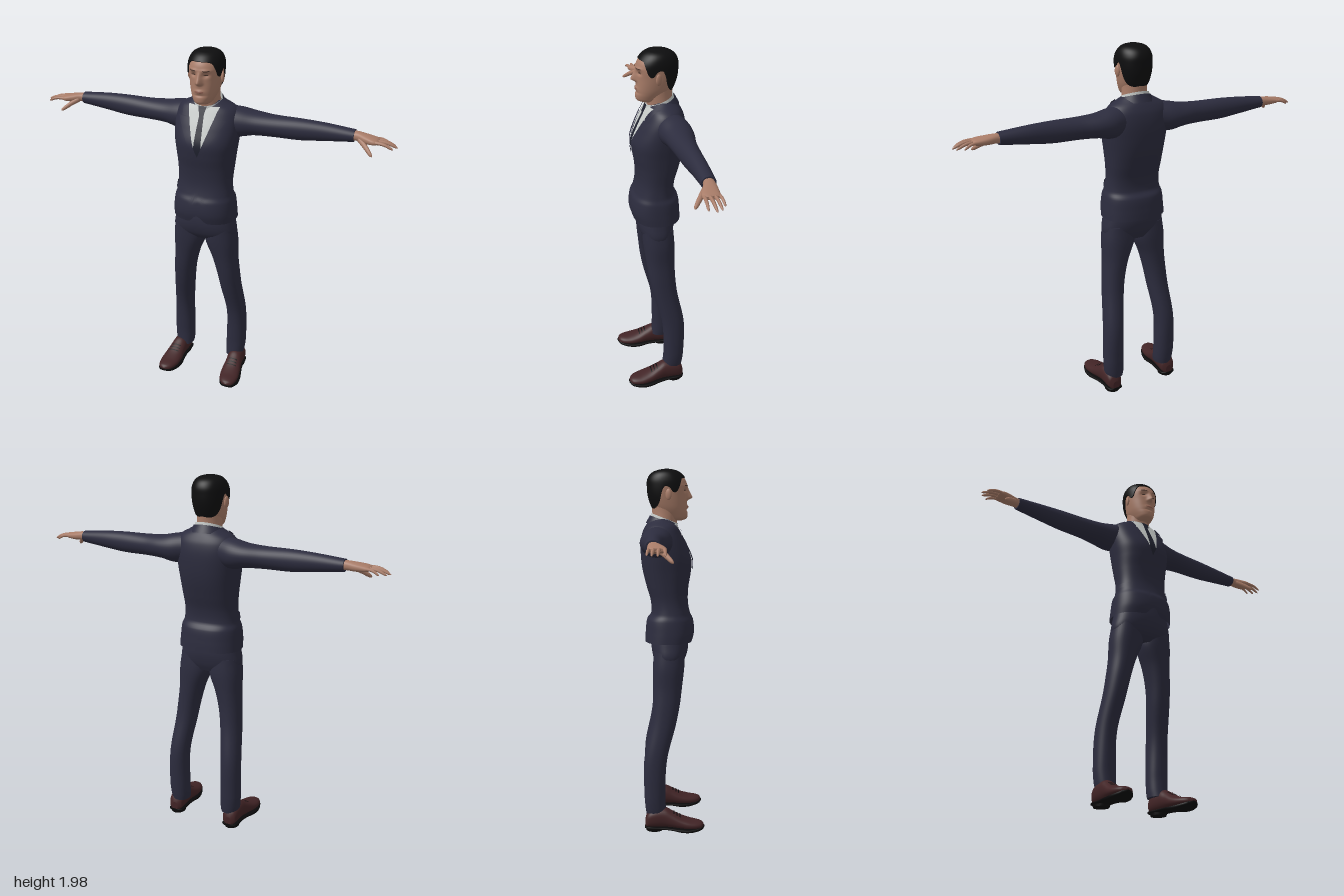
import * as THREE from 'three';

const mat = (name, color) => {
  const m = new THREE.MeshStandardMaterial({ color, side: THREE.DoubleSide });
  m.name = name;
  return m;
};

// Smooth interpolation of rows [t, ...values]
function sample(rows, t) {
  const n = rows.length;
  let i = 0;
  while (i < n - 2 && t > rows[i + 1][0]) i++;
  const a = rows[i], b = rows[i + 1], p = rows[Math.max(i - 1, 0)], q = rows[Math.min(i + 2, n - 1)];
  const h = b[0] - a[0], s = Math.min(1, Math.max(0, (t - a[0]) / h));
  return a.map((v, k) => {
    const m0 = (b[k] - p[k]) / (b[0] - p[0]) * h, m1 = (q[k] - v) / (q[0] - a[0]) * h;
    const s2 = s * s, s3 = s2 * s;
    return (2 * s3 - 3 * s2 + 1) * v + (s3 - 2 * s2 + s) * m0 + (3 * s2 - 2 * s3) * b[k] + (s3 - s2) * m1;
  });
}

// Point on a lofted form; rows are [t, centre, halfWidth, front or top, back or bottom, roundness]
const power = (v, e) => Math.sign(v) * Math.abs(v) ** e;
function surf(rows, t, a, off = 0, axis = 'y') {
  const [, c, w, f, b, n] = sample(rows, t);
  const s = c + (w + off) * power(Math.sin(a), 2 / n);
  const d = (f + b) / 2 + ((f - b) / 2 + off) * power(Math.cos(a), 2 / n);
  if (axis === 'y') return [s, t, d];
  if (axis === 'x') return [t, d, s];
  return [2 * c - s, d, t];
}

// Surface from fn(u, v), optionally wrapped in u with flat end caps
function grid(fn, nu, nv, wrap = false, caps = false) {
  const pos = [], idx = [], cols = wrap ? nu : nu + 1;
  for (let j = 0; j <= nv; j++) for (let i = 0; i < cols; i++) pos.push(...fn(i / nu, j / nv));
  for (let j = 0; j < nv; j++) for (let i = 0; i < nu; i++) {
    const a = j * cols + i, b = j * cols + (i + 1) % cols;
    idx.push(a, b, b + cols, a, b + cols, a + cols);
  }
  if (caps) for (const j of [0, nv]) {
    const base = pos.length / 3, mid = [0, 0, 0];
    for (let i = 0; i < cols; i++) {
      const p = fn(i / nu, j / nv);
      pos.push(...p);
      p.forEach((v, k) => { mid[k] += v / cols; });
      const k = base + (i + 1) % cols;
      idx.push(base + cols, ...(j ? [base + i, k] : [k, base + i]));
    }
    pos.push(...mid);
  }
  const g = new THREE.BufferGeometry();
  g.setAttribute('position', new THREE.Float32BufferAttribute(pos, 3));
  g.setIndex(idx);
  g.computeVertexNormals();
  return g;
}
const lerp = THREE.MathUtils.lerp;
const loft = (rows, axis, nu = 40, nv = 40) => grid((u, v) =>
  surf(rows, lerp(rows[0][0], rows.at(-1)[0], v), u * Math.PI * 2, 0, axis), nu, nv, true, true);

// Tapered round-tipped finger
function finger(points, r) {
  const curve = new THREE.CatmullRomCurve3(points.map(p => new THREE.Vector3(...p)));
  const n = 16, g = new THREE.TubeGeometry(curve, n, r, 10), p = g.attributes.position, v = new THREE.Vector3();
  for (let i = 0; i < p.count; i++) {
    const u = Math.floor(i / 11) / n, c = curve.getPointAt(u);
    v.fromBufferAttribute(p, i).sub(c).multiplyScalar((1 - 0.3 * u) * Math.sqrt(1 - u ** 8)).add(c);
    p.setXYZ(i, v.x, v.y, v.z);
  }
  g.computeVertexNormals();
  return g;
}

function mirrored(geo) {
  const g = geo.clone().scale(-1, 1, 1), ix = g.index.array;
  for (let i = 0; i < ix.length; i += 3) [ix[i], ix[i + 1]] = [ix[i + 1], ix[i]];
  return g;
}

const TORSO = [
  [1.04, 0, .178, .108, -.15, 2.4], [1.1, 0, .175, .122, -.147, 2.4], [1.17, 0, .167, .115, -.138, 2.4],
  [1.2, 0, .157, .1, -.117, 2.4], [1.27, 0, .15, .087, -.118, 2.4], [1.35, 0, .155, .09, -.14, 2.4],
  [1.43, 0, .163, .103, -.16, 2.4], [1.5, 0, .172, .105, -.17, 2.4], [1.58, 0, .178, .074, -.172, 2.4],
  [1.64, 0, .172, .045, -.163, 2.3], [1.675, 0, .15, .028, -.147, 2.2], [1.7, 0, .105, .015, -.13, 2], [1.715, 0, .08, 0, -.115, 2]];
const ARM = [
  [.1, -.07, .08, 1.68, 1.52, 2], [.175, -.085, .085, 1.672, 1.515, 2], [.25, -.092, .077, 1.658, 1.53, 2],
  [.35, -.09, .062, 1.651, 1.535, 2], [.5, -.092, .05, 1.65, 1.537, 2], [.62, -.095, .043, 1.645, 1.55, 2], [.775, -.095, .036, 1.632, 1.568, 2]];
const PELVIS = [[.92, 0, .15, .045, -.09, 2.3], [.96, 0, .18, .075, -.106, 2.4], [1.03, 0, .172, .09, -.115, 2.4], [1.15, 0, .145, .075, -.1, 2.4]];
const LEG = [
  [.09, .163, .05, -.032, -.145, 2.2], [.12, .165, .055, -.036, -.15, 2.2], [.2, .168, .058, -.04, -.156, 2.2],
  [.4, .166, .055, -.03, -.156, 2.2], [.6, .144, .059, .02, -.118, 2.2], [.7, .132, .063, .04, -.108, 2.2],
  [.8, .115, .072, .053, -.106, 2.2], [.91, .094, .092, .066, -.107, 2.3], [1, .09, .085, .07, -.1, 2.3]];
const SHOE = [
  [-.15, .178, .018, .07, .02, 2.4], [-.143, .178, .036, .095, .018, 2.4], [-.11, .179, .045, .12, .018, 2.4],
  [-.04, .182, .046, .128, .018, 2.2], [0, .186, .049, .108, .018, 2.2], [.05, .19, .055, .082, .015, 2.2],
  [.1, .195, .055, .066, .014, 2.2], [.145, .199, .043, .058, .017, 2.2], [.168, .202, .024, .05, .022, 2.2], [.173, .202, .008, .042, .028, 2]];
const SOLE = [
  [-.153, .178, .02, .028, .012, 4], [-.14, .178, .042, .028, .012, 4], [-.05, .182, .046, .026, .012, 4], [0, .187, .052, .024, .01, 4],
  [.05, .191, .06, .022, .002, 4], [.1, .196, .059, .022, .002, 4], [.15, .2, .043, .028, .01, 4], [.172, .202, .024, .034, .018, 4], [.177, .202, .008, .034, .024, 4]];
const PALM = [
  [.75, -.094, .026, 1.624, 1.574, 2.2], [.79, -.093, .028, 1.625, 1.578, 2.3], [.83, -.085, .037, 1.62, 1.575, 2.4],
  [.87, -.077, .043, 1.613, 1.577, 2.5], [.895, -.077, .041, 1.607, 1.582, 2.5], [.902, -.077, .034, 1.602, 1.587, 2.2]];
const NECK = [[1.62, 0, .075, .02, -.12, 2], [1.7, 0, .069, .026, -.108, 2], [1.75, 0, .066, .035, -.108, 2], [1.81, 0, .066, .04, -.112, 2]];
const HEAD = [
  [1.708, 0, .03, .055, -.02, 2], [1.718, 0, .045, .078, -.045, 2], [1.74, 0, .058, .085, -.08, 2.1], [1.77, 0, .07, .082, -.1, 2.15],
  [1.8, 0, .077, .08, -.114, 2.2], [1.84, 0, .083, .079, -.126, 2.2], [1.885, 0, .086, .082, -.13, 2.2], [1.92, 0, .084, .074, -.128, 2.1],
  [1.95, 0, .071, .05, -.11, 2], [1.967, 0, .048, .022, -.08, 2], [1.975, 0, .015, -.012, -.045, 2]];
const NOSE = [[1.8, 0], [1.815, .006], [1.828, .029], [1.838, .029], [1.86, .016], [1.885, .003], [1.9, 0]];
const HAIRLINE = [[0, 1.937], [.7, 1.93], [.95, 1.9], [1.15, 1.86], [1.35, 1.86], [1.5, 1.885], [1.75, 1.885], [2, 1.815], [2.4, 1.777], [Math.PI, 1.77]];

// Head surface with nose, eye sockets, lips and brow
function face(y, a, off = 0) {
  const p = surf(HEAD, y, a, off), x = p[0];
  const bump = (cx, cy, rx, ry) => Math.exp(-(((Math.abs(x) - cx) / rx) ** 2) - ((y - cy) / ry) ** 2);
  if (Math.cos(a) > 0) {
    if (y > 1.8 && y < 1.9) p[2] += sample(NOSE, y)[1] * Math.exp(-((x / (.011 + (1.9 - y) * .06)) ** 2));
    p[2] += .006 * bump(0, 1.782, .025, .01) - .011 * bump(.033, 1.868, .017, .012)
      + .005 * bump(.035, 1.892, .026, .008) - .004 * bump(0, 1.762, .03, .006);
  }
  return p;
}

// Strip laid over the front of a form between two x limits for each height
const overlay = (rows, y0, y1, left, right, off, shape = surf) => grid((u, v) => {
  const y = lerp(y0, y1, v), [, , w, , , n] = sample(rows, y), k = lerp(left(y), right(y), u) / w;
  return shape(rows === HEAD ? y : rows, rows === HEAD ? Math.asin(power(k, n / 2)) : y,
    rows === HEAD ? off : Math.asin(power(Math.max(-1, Math.min(1, k)), n / 2)), off);
}, 16, 24);

export function createModel() {
  const model = new THREE.Group();
  const suit = mat('navySuit', 0x2c2c3e), skin = mat('skin', 0xa87c68), hairMat = mat('blackHair', 0x0e0e0f);
  const shirt = mat('whiteShirt', 0xc6cac8), tieMat = mat('darkTie', 0x20222f), leather = mat('brownLeather', 0x422426);
  const soleMat = mat('blackSole', 0x0b0a0b), lip = mat('lips', 0x8f6052), brow = mat('brows', 0x4a352d);
  const add = (name, geo, m) => {
    const mesh = new THREE.Mesh(geo, m);
    mesh.name = name;
    model.add(mesh);
  };
  const pair = (name, geo, m) => {
    add(name + 'Left', geo, m);
    add(name + 'Right', mirrored(geo), m);
  };
  const TAU = Math.PI * 2;

  // Jacket body, parted at the front of the hem
  add('jacketBody', grid((u, v) => {
    const a = u * TAU, d = Math.min(a, TAU - a);
    return surf(TORSO, lerp(1.048 + .045 * Math.exp(-((d / .14) ** 2)), 1.715, v), a);
  }, 96, 80, true), suit);
  pair('sleeve', loft(ARM, 'x'), suit);
  pair('pocketFlap', grid((u, v) => surf(TORSO, lerp(1.215, 1.243, v), lerp(.75, 1.6, u), .005), 16, 4), suit);

  // Shirt front, tie and lapels following the neckline
  const neckline = y => .085 * Math.max(0, (y - 1.43) / .26) ** .85;
  add('shirtFront', overlay(TORSO, 1.43, 1.69, y => -neckline(y), neckline, .003), shirt);
  const tieHalf = y => Math.min(neckline(y), .022 - .05 * (y - 1.45));
  add('tie', overlay(TORSO, 1.432, 1.675, y => -tieHalf(y), tieHalf, .006), tieMat);
  const knot = y => .012 + (y - 1.65) * .22;
  add('tieKnot', overlay(TORSO, 1.65, 1.692, y => -knot(y), knot, .012), tieMat);
  pair('lapel', overlay(TORSO, 1.425, 1.63, y => neckline(y) - .003, y => neckline(y) + .008 + (y - 1.425) * .24, .009), suit);
  pair('lapelCollar', overlay(TORSO, 1.635, 1.695, y => neckline(y) - .003, y => neckline(y) + .036 - (y - 1.635) * .2, .009), suit);

  // Collars, rising towards the back
  const collar = (a0, a1, top, height, w, flare) => grid((u, v) => {
    const a = lerp(a0, a1, u), r = w + flare * (1 - v);
    return [r * Math.sin(a), top - .027 * Math.cos(a) - height * (1 - v), -.042 + (r - .005) * Math.cos(a)];
  }, 48, 6);
  add('shirtCollar', collar(.1, TAU - .1, 1.72, .045, .076, .008), shirt);
  add('jacketCollar', collar(1.15, TAU - 1.15, 1.708, .04, .084, .022), suit);

  // Trousers
  add('trouserSeat', loft(PELVIS, 'y', 56, 20), suit);
  pair('trouserLeg', loft(LEG, 'y', 40, 60), suit);

  // Shoes
  pair('shoe', loft(SHOE, 'z', 32, 40), leather);
  pair('sole', loft(SOLE, 'z', 32, 30), soleMat);
  const heel = new THREE.CylinderGeometry(.043, .041, .018, 24);
  heel.scale(1, 1, 1.15).translate(.18, .009, -.1);
  pair('heel', heel, soleMat);
  for (const z of [.005, .022, .039])
    pair('lace', grid((u, v) => surf(SHOE, z + .006 * v, lerp(-.5, .5, u), .003, 'z'), 8, 2), soleMat);

  // Hands
  pair('palm', loft(PALM, 'x', 28, 24), skin);
  const fingers = [[-.11, .953, -.122, .0085], [-.089, .985, -.1, .0095], [-.066, .998, -.074, .01], [-.045, .98, -.04, .0098]];
  for (const [z, tipX, tipZ, r] of fingers)
    pair('finger', finger([[.87, 1.596, z], [lerp(.88, tipX, .5), 1.593, lerp(z, tipZ, .55)], [tipX, 1.573, tipZ]], r), skin);
  pair('thumb', finger([[.805, 1.592, -.072], [.845, 1.567, -.038], [.885, 1.535, -.004]], .0145), skin);

  // Head
  add('neck', loft(NECK, 'y', 36, 12), skin);
  add('head', grid((u, v) => face(lerp(1.708, 1.975, v), u * TAU), 128, 90, true, true), skin);
  const ear = new THREE.SphereGeometry(1, 16, 12);
  ear.scale(.009, .03, .017).rotateY(.3).translate(.09, 1.845, -.02);
  pair('ear', ear, skin);
  add('hair', grid((u, v) => {
    const a = u * TAU, p = surf(HEAD, lerp(sample(HAIRLINE, Math.min(a, TAU - a))[1], 1.975, v), a, .007);
    p[1] += .006 * v;
    return p;
  }, 96, 40, true, true), hairMat);

  // Facial details laid on the head
  const mark = (y0, y1, l, r, off) => overlay(HEAD, y0, y1, l, r, off, face);
  const arc = (y, mid, h) => Math.sqrt(Math.max(0, 1 - ((y - mid) / h) ** 2));
  add('mouth', mark(1.776, 1.788, y => -.025 * arc(y, 1.782, .0065), y => .025 * arc(y, 1.782, .0065), .0015), lip);
  pair('eye', mark(1.865, 1.871, y => .034 - .012 * arc(y, 1.868, .0032), y => .034 + .012 * arc(y, 1.868, .0032), .0015), brow);
  pair('eyebrow', mark(1.889, 1.894, () => .018, () => .052, .0015), brow);
  return model;
}
